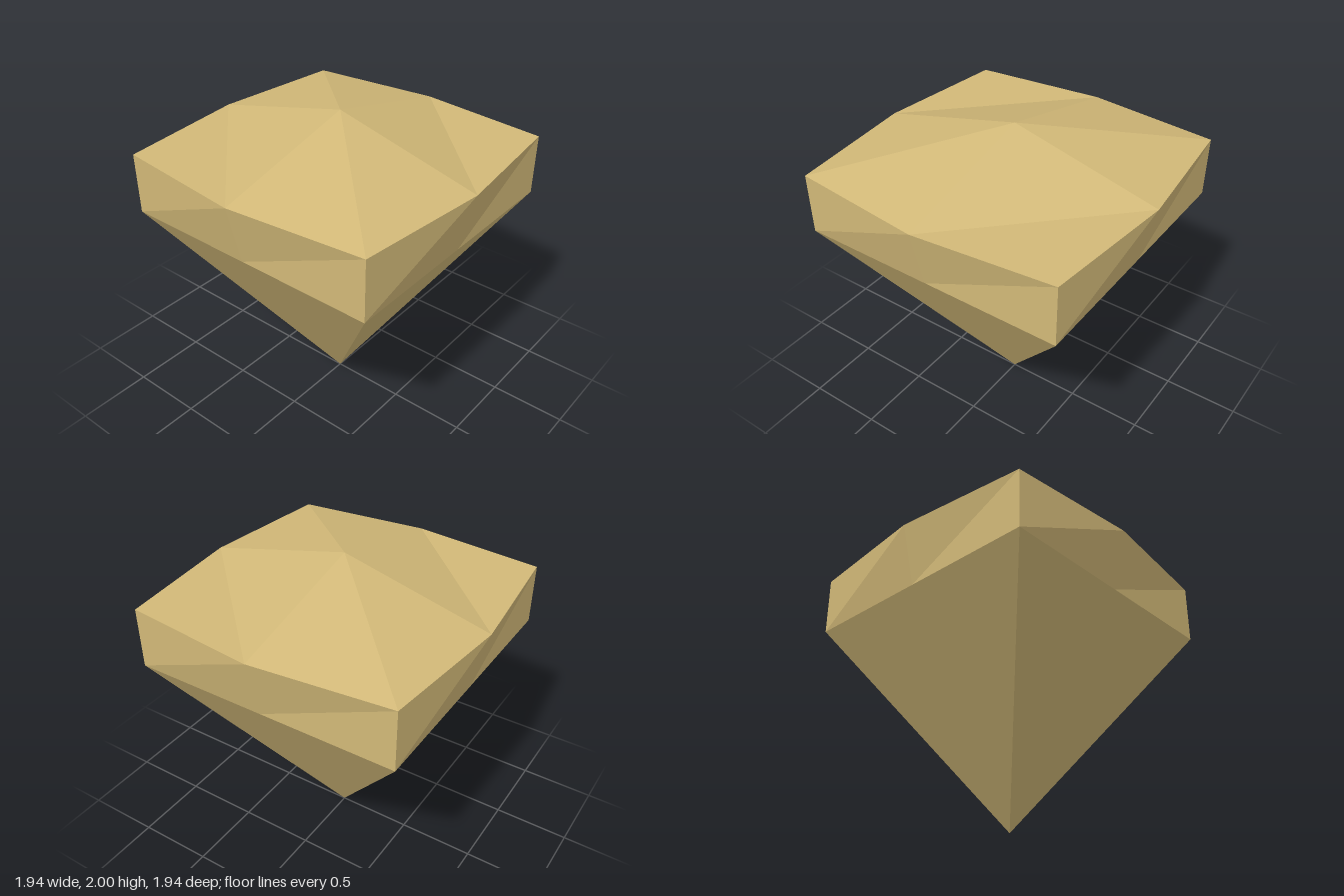
import * as THREE from 'three';

const HALF = 0.88;   // corner distance along each axis
const BULGE = 0.972; // mid-edge distance of the rim
const LOW = 1.37, RIM = 1.765, PEAK = 2;

// Mesh from a list of triangles, each three Vector3 corners
function facets(name, triangles, material) {
  const geometry = new THREE.BufferGeometry().setFromPoints(triangles.flat());
  geometry.computeVertexNormals();
  const mesh = new THREE.Mesh(geometry, material);
  mesh.name = name;
  return mesh;
}

export function createModel() {
  const sand = new THREE.MeshStandardMaterial({ color: 0xd2b978, flatShading: true });
  sand.name = 'sand';
  const group = new THREE.Group();
  group.name = 'floatingRock';

  const up = new THREE.Vector3(0, 1, 0);
  const point = (x, y, z, turn) => new THREE.Vector3(x, y, z).applyAxisAngle(up, turn * Math.PI / 2);
  const tip = new THREE.Vector3(0, 0, 0);
  const peak = new THREE.Vector3(0, PEAK, 0);

  // Four sides, each a bulging band above one face of the point
  const rim = [], band = [], spike = [];
  for (let i = 0; i < 4; i++) {
    const leftLow = point(-HALF, LOW, HALF, i), leftTop = point(-HALF, RIM, HALF, i);
    const midLow = point(0, LOW, HALF, i), midTop = point(0, RIM, BULGE, i);
    const rightLow = point(HALF, LOW, HALF, i), rightTop = point(HALF, RIM, HALF, i);
    band.push(
      [leftLow, midLow, midTop], [leftLow, midTop, leftTop],
      [midLow, rightLow, rightTop], [midLow, rightTop, midTop]);
    spike.push([tip, rightLow, leftLow]);
    rim.push(leftTop, midTop);
  }

  // Shallow cap: two corners creased to the peak, two cut across
  const cap = [];
  for (const k of [0, 4]) {
    const [before, corner, a, cut, b] = [7, 0, 1, 2, 3].map(n => rim[(n + k) % 8]);
    cap.push([peak, before, corner], [peak, corner, a], [peak, a, b], [a, cut, b]);
  }

  group.add(
    facets('cap', cap, sand),
    facets('sideBand', band, sand),
    facets('lowerPoint', spike, sand));
  return group;
}
